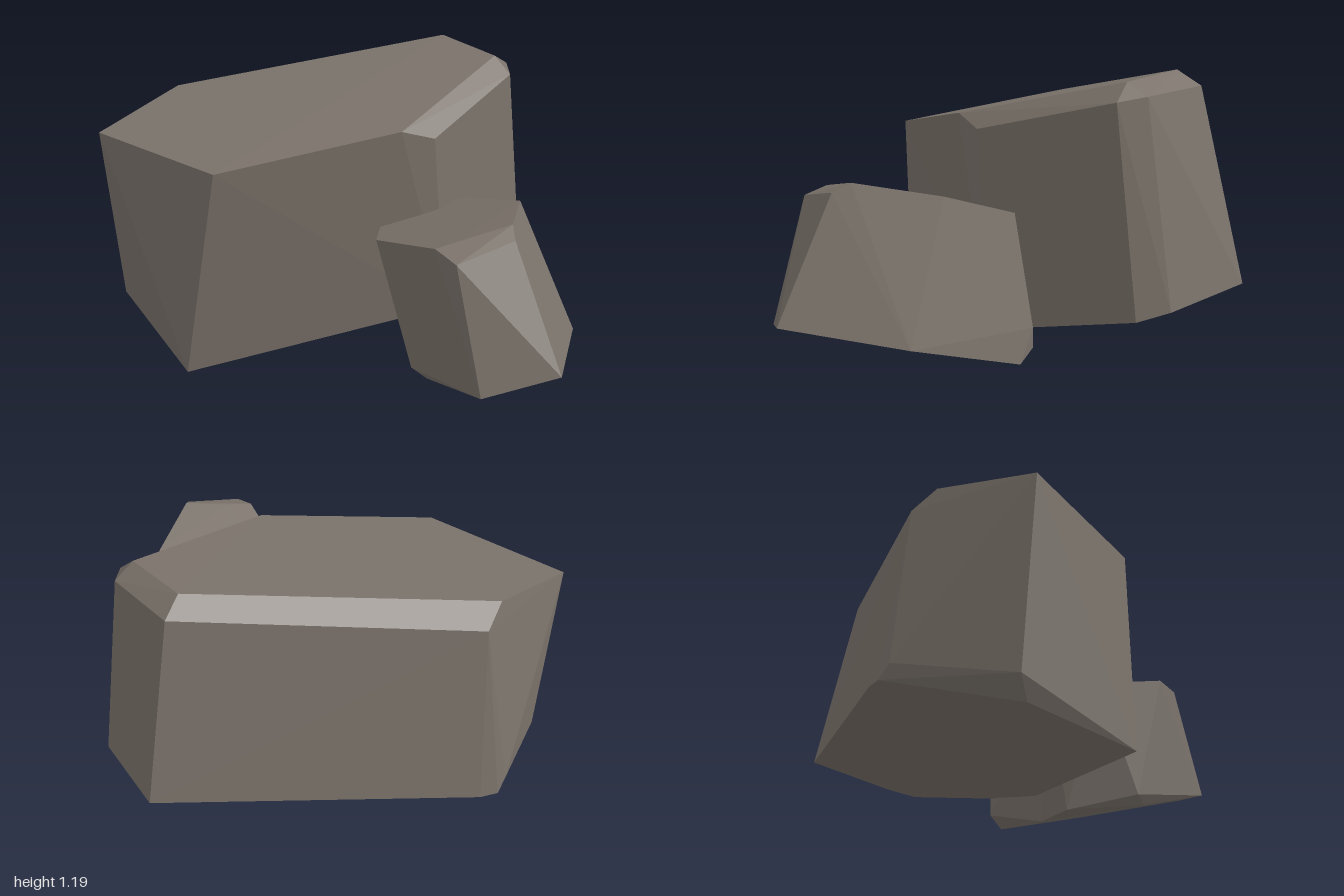
import * as THREE from 'three';
import { ConvexGeometry } from 'three/addons/geometries/ConvexGeometry.js';

const stone = new THREE.MeshStandardMaterial({ color: 0x7a726a });
stone.name = 'stone';

// A faceted boulder: the convex hull of its corner points
function boulder(name, ...rings) {
  const points = rings.flat().map(([x, y, z]) => new THREE.Vector3(x, y, z));
  const mesh = new THREE.Mesh(new ConvexGeometry(points), stone);
  mesh.name = name;
  return mesh;
}

export function createModel() {
  const group = new THREE.Group();
  group.name = 'rocks';

  // Large slab: sloping top, chipped upper edge, tilted underside
  const slabTop = [
    [-1, 0.92, 0.1], [-0.43, 0.9, 0.47], [0.28, 1.01, 0.2],
    [0.645, 1.16, -0.43], [0.41, 1.19, -0.65], [-0.75, 1.02, -0.28],
  ];
  const slabChips = [
    [0.41, 0.96, 0.125], [0.715, 1.09, -0.385], [0.7, 1.11, -0.5],
    [0.44, 1.13, -0.74], [-0.71, 0.945, -0.38],
    [-0.96, 0.14, 0.04], [-0.845, 0.23, -0.42],
  ];
  const slabBase = [
    [-0.58, 0, 0.46], [0.475, 0.17, 0.08], [0.8, 0.29, -0.46], [0.79, 0.325, -0.59],
    [0.52, 0.365, -0.91], [-0.75, 0.18, -0.5], [-0.82, 0.175, -0.46], [-0.89, 0.06, 0.06],
  ];
  group.add(boulder('largeRock', slabTop, slabChips, slabBase));

  // Small rock leaning against the slab
  const smallTop = [
    [0.2, 0.625, 0.4], [0.44, 0.745, 0.71], [0.53, 0.762, 0.66], [0.72, 0.8, 0.58],
    [0.76, 0.755, 0.24], [0.53, 0.65, -0.02], [0.2, 0.59, 0.17],
  ];
  const smallChips = [
    [0.52, 0.72, 0.785], [0.73, 0.765, 0.65], [0.36, 0.155, 0.57],
    [0.32, 0.07, 0.25], [0.59, 0.13, -0.09], [0.59, 0.21, -0.09],
  ];
  const smallBase = [
    [0.63, 0.24, 0.9], [0.92, 0.31, 0.83], [1, 0.25, 0.35], [0.66, 0.085, -0.04],
    [0.39, 0.04, 0.14], [0.41, 0.09, 0.4], [0.425, 0.127, 0.6],
  ];
  group.add(boulder('smallRock', smallTop, smallChips, smallBase));

  return group;
}
